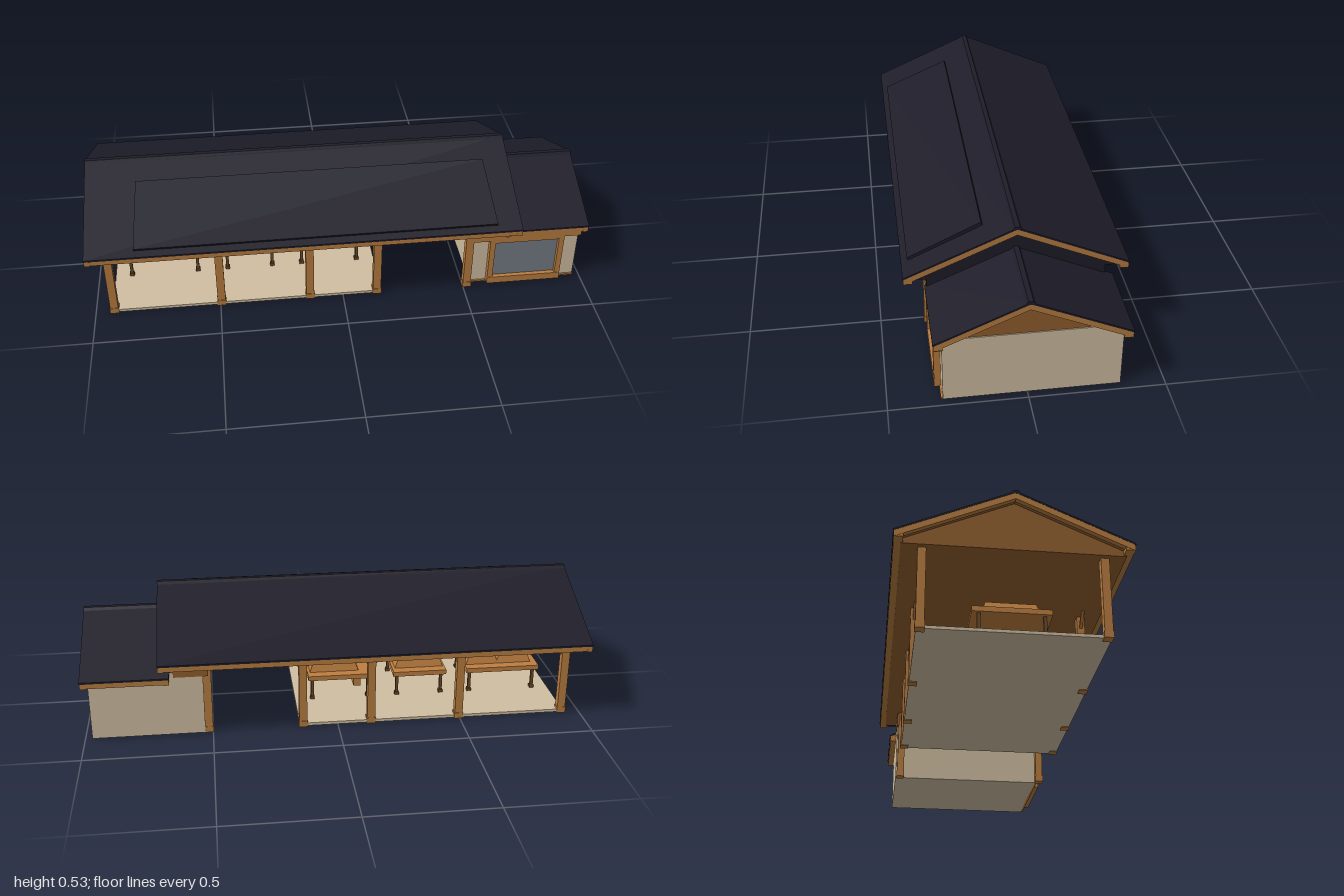
import * as THREE from 'three';

export function createModel() {
  const root = new THREE.Group();
  root.name = 'pavilion';
  const mat = (name, color) => {
    const m = new THREE.MeshStandardMaterial({ color });
    m.name = name;
    return m;
  };
  const navy = mat('navy roofing', 0x1e1d29);
  const wood = mat('timber', 0xb97d40);
  const brown = mat('gable boarding', 0x925f2e);
  const beige = mat('plaster', 0xd0bea1);
  const tableWood = mat('table wood', 0xbf7f40);
  const glass = mat('window glass', 0x767d85);
  const dark = mat('table legs', 0x6b4a28);

  const add = (name, geo, m, parent = root) => {
    const mesh = new THREE.Mesh(geo, m);
    mesh.name = name;
    parent.add(mesh);
    return mesh;
  };
  // box from its lower and upper limits on each axis
  const box = (name, m, x0, x1, y0, y1, z0, z1, parent) => {
    const b = add(name, new THREE.BoxGeometry(x1 - x0, y1 - y0, z1 - z0), m, parent);
    b.position.set((x0 + x1) / 2, (y0 + y1) / 2, (z0 + z1) / 2);
    return b;
  };
  // prism along x from a [z, y] outline
  const prism = (name, m, pts, x0, x1, parent) => {
    const s = new THREE.Shape(pts.map(([z, y]) => new THREE.Vector2(-z, y)));
    const g = new THREE.ExtrudeGeometry(s, { depth: x1 - x0, bevelEnabled: false });
    g.rotateY(Math.PI / 2).translate(x0, 0, 0);
    return add(name, g, m, parent);
  };

  // gabled roof: covering, soffit, end trims, eave boards and ridge cap
  const slope = 0.44;
  function roof(name, x0, x1, ridge, zBack, zFront) {
    const g = new THREE.Group();
    g.name = name;
    root.add(g);
    const band = (top, bottom, inset = 0) => {
      const b = zBack + inset, f = zFront - inset;
      const y = (z, d) => ridge - Math.abs(z) * slope - d;
      return [[b, y(b, top)], [0, ridge - top], [f, y(f, top)],
        [f, y(f, bottom)], [0, ridge - bottom], [b, y(b, bottom)]];
    };
    prism('roofCovering', navy, band(0, 0.007), x0, x1, g);
    prism('soffit', brown, band(0.007, 0.026, 0.02), x0 + 0.02, x1 - 0.02, g);
    for (const x of [x0 + 0.001, x1 - 0.021]) prism('gableTrim', wood, band(0.006, 0.031, 0.002), x, x + 0.02, g);
    for (const z of [zBack, zFront]) {
      const y = ridge - Math.abs(z) * slope, s = Math.sign(z);
      const a = z - s * 0.035, b = z - s * 0.003;
      box('eaveBoard', wood, x0 + 0.002, x1 - 0.002, y - 0.028, y - 0.004,
        Math.min(a, b), Math.max(a, b), g);
    }
    prism('ridgeCap', navy, [[-0.018, ridge - 0.009], [-0.009, ridge + 0.004],
      [0.009, ridge + 0.004], [0.018, ridge - 0.009]], x0, x1, g);
  }
  roof('mainRoof', -1, 0.7, 0.522, -0.418, 0.414);
  roof('lowerRoof', 0.66, 1, 0.422, -0.367, 0.335);

  // flat ceiling and gable infills under the main roof
  const gable = [[-0.385, 0.31], [-0.385, 0.33], [0, 0.497], [0.385, 0.33], [0.385, 0.31]];
  box('ceiling', brown, -0.96, 0.65, 0.308, 0.315, -0.39, 0.39);
  prism('leftGable', brown, gable, -0.96, -0.945);
  prism('rightGable', navy, gable, 0.65, 0.672);
  box('lowerEndWall', navy, 0.645, 0.672, 0.262, 0.312, -0.334, 0.328);
  box('atticWall', brown, 0.51, 0.645, 0.25, 0.31, -0.339, 0.31);

  // solar panel array resting on the front slope
  const panel = new THREE.Shape([[-0.812, 0], [0.603, 0], [0.592, 0.302], [-0.8, 0.302]]
    .map(([x, y]) => new THREE.Vector2(x, y)));
  const panelMesh = add('solarPanel', new THREE.ExtrudeGeometry(panel, { depth: 0.014, bevelEnabled: false }), navy);
  panelMesh.rotation.x = -Math.PI / 2 + Math.atan(0.455);
  panelMesh.position.set(0, 0.349, 0.386);

  // open shelter: floor, posts and knee braces
  box('floor', beige, -0.93, 0.155, 0.003, 0.015, -0.33, 0.33);
  const postX = [-0.925, -0.495, -0.135, 0.14, 0.515];
  for (const side of [-1, 1]) {
    const z = side * 0.317;
    postX.forEach((x, i) => {
      box('post', wood, x - 0.016, x + 0.016, 0.003, 0.31, z - 0.015, z + 0.015);
      box('postFoot', wood, x - 0.018, x + 0.018, 0, 0.025, z - 0.017, z + 0.017);
      for (const d of [-1, 1]) {
        if ((i === 0 && d < 0) || (i === 4 && d > 0)) continue;
        const brace = add('kneeBrace', new THREE.BoxGeometry(0.08, 0.009, 0.012), wood);
        brace.position.set(x + d * 0.034, 0.284, z);
        brace.rotation.z = d * Math.PI / 4;
      }
    });
  }

  // tables: slab, raised tapered tops, legs
  function table(x0, x1, tops) {
    const g = new THREE.Group();
    g.name = 'table';
    root.add(g);
    box('tableSlab', tableWood, x0, x1, 0.107, 0.127, -0.14, 0.14, g);
    for (const [a, b] of tops) {
      const geo = new THREE.BoxGeometry(b - a, 0.04, 0.2);
      const p = geo.attributes.position;
      for (let i = 0; i < p.count; i++) {
        if (p.getY(i) > 0) p.setXYZ(i, p.getX(i) - Math.sign(p.getX(i)) * 0.015, p.getY(i), p.getZ(i) * 0.9);
      }
      geo.computeVertexNormals();
      add('raisedTop', geo, tableWood, g).position.set((a + b) / 2, 0.146, 0);
    }
    for (const x of [x0 + 0.018, x1 - 0.018]) {
      for (const z of [-0.115, 0.115]) {
        box('tableLeg', dark, x - 0.006, x + 0.006, 0.015, 0.11, z - 0.006, z + 0.006, g);
        box('legFoot', dark, x - 0.009, x + 0.009, 0.014, 0.028, z - 0.009, z + 0.009, g);
      }
    }
  }
  table(-0.88, -0.57, [[-0.855, -0.705], [-0.715, -0.575]]);
  table(-0.482, -0.258, [[-0.475, -0.27]]);
  table(-0.17, 0.1, [[-0.115, 0.09]]);
  box('smallStool', tableWood, -0.13, -0.1, 0.035, 0.07, -0.06, 0.05);

  // enclosed room with a boarded gable
  box('roomWalls', beige, 0.53, 0.972, 0.003, 0.27, -0.338, 0.303);
  prism('roomGable', brown, [[-0.29, 0.265], [0, 0.394], [0.29, 0.265]], 0.672, 0.968);
  box('frontPlate', wood, 0.5, 0.975, 0.225, 0.247, 0.3, 0.328);
  box('sill', wood, 0.53, 0.972, 0.003, 0.01, 0.3, 0.31);

  // framed front window
  box('windowGlass', glass, 0.61, 0.9, 0.03, 0.225, 0.303, 0.311);
  for (const x of [0.6, 0.885]) box('windowFrame', wood, x, x + 0.022, 0.006, 0.23, 0.3, 0.328);
  box('windowFrame', wood, 0.6, 0.907, 0.006, 0.037, 0.3, 0.329);
  box('windowFrame', wood, 0.6, 0.907, 0.212, 0.23, 0.3, 0.327);

  return root;
}
